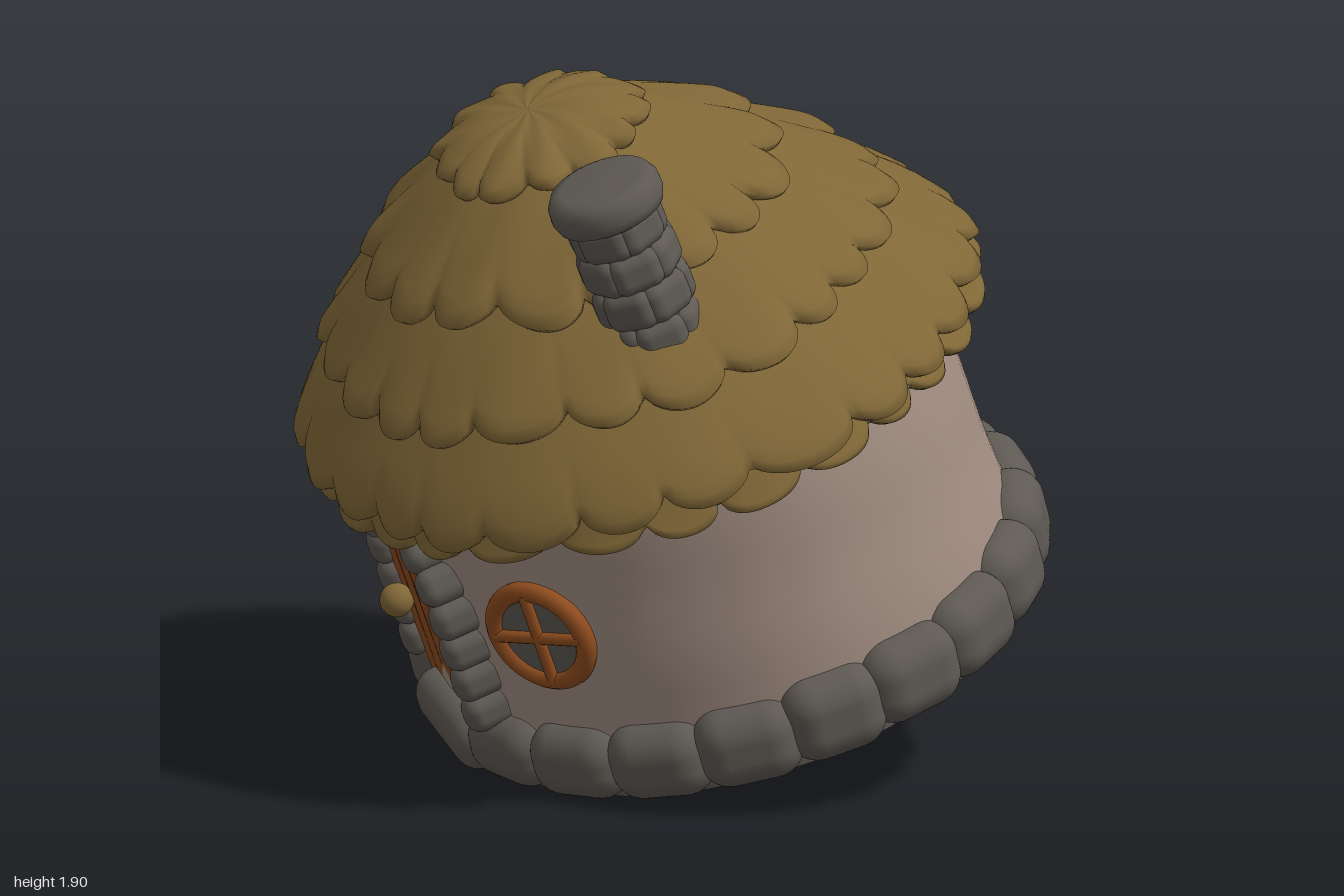
import * as THREE from 'three';
import { RoundedBoxGeometry } from 'three/addons/geometries/RoundedBoxGeometry.js';

const material = (name, color) => {
  const m = new THREE.MeshStandardMaterial({ color });
  m.name = name;
  return m;
};

export function createModel() {
  const thatch = material('thatch', 0x806737);
  const plaster = material('plaster', 0xa38f83);
  const stone = material('stone', 0x5e5953);
  const wood = material('wood', 0x8f4c1e);

  const model = new THREE.Group();
  model.name = 'cottage';
  // The whole cottage leans forward
  const house = new THREE.Group();
  house.name = 'house';
  house.rotation.x = 0.4;
  house.position.set(0.01, 0.316, -0.235);
  model.add(house);

  const add = (parent, name, geometry, mat, x = 0, y = 0, z = 0) => {
    const mesh = new THREE.Mesh(geometry, mat);
    mesh.name = name;
    mesh.position.set(x, y, z);
    parent.add(mesh);
    return mesh;
  };
  let seed = 7;
  const rand = () => (seed = (seed * 16807) % 2147483647) / 2147483647;
  const pebble = (w, h, d) => new RoundedBoxGeometry(w, h, d, 5, Math.min(w, h, d) * 0.44);
  const lathe = (pts, segments = 40) => new THREE.LatheGeometry(pts.map(p => new THREE.Vector2(...p)), segments);

  // Plaster wall, slightly uneven
  const wallGeo = new THREE.CylinderGeometry(0.765, 0.775, 0.9, 96, 16, true);
  const wp = wallGeo.attributes.position;
  for (let i = 0; i < wp.count; i++) {
    const a = Math.atan2(wp.getX(i), wp.getZ(i)), y = wp.getY(i);
    const k = 1 + 0.006 * Math.sin(5 * a + 6 * y) * Math.sin(3 * a - 9 * y);
    wp.setXYZ(i, wp.getX(i) * k * 1.06, y, wp.getZ(i) * k);
  }
  wallGeo.computeVertexNormals();
  add(house, 'wall', wallGeo, plaster, 0, 0.48, 0);

  // Foundation slab and ring of boulders, leaving a gap for the doorstep
  const foundation = new THREE.Group();
  foundation.name = 'foundation';
  foundation.rotation.z = -0.025;
  house.add(foundation);
  add(foundation, 'floor', new THREE.CylinderGeometry(0.8, 0.8, 0.08, 48), stone, 0, 0.05, 0).scale.x = 1.04;
  for (let i = 0; i < 19; i++) {
    const a = -0.07 + i * 0.306, h = 0.2 + rand() * 0.05;
    const s = add(foundation, 'foundationStone', pebble(0.275 + rand() * 0.02, h, 0.2), stone,
      0.8 * Math.sin(a), h / 2, 0.755 * Math.cos(a));
    s.rotation.set(-0.08, a, (rand() - 0.5) * 0.08);
  }

  // Group standing on the wall surface at an angle, facing outward
  const onWall = (name, angle, y, radius) => {
    const g = new THREE.Group();
    g.name = name;
    g.position.set(1.05 * radius * Math.sin(angle), y, radius * Math.cos(angle));
    g.rotation.y = angle;
    house.add(g);
    return g;
  };

  // Arched plank door
  const door = onWall('door', -0.42, 0, 0.765);
  const archY = 0.5, halfWidth = 0.23, planks = 5;
  const archTop = x => archY + Math.sqrt(Math.max(0, halfWidth ** 2 - x * x));
  for (let i = 0; i < planks; i++) {
    const w = 2 * halfWidth / planks, x0 = -halfWidth + i * w + 0.003, x1 = x0 + w - 0.006;
    const shape = new THREE.Shape();
    shape.moveTo(x0, 0.12);
    shape.lineTo(x1, 0.12);
    for (let k = 0; k <= 6; k++) {
      const x = x1 + (x0 - x1) * k / 6;
      shape.lineTo(x, archTop(x));
    }
    const g = new THREE.ExtrudeGeometry(shape, {
      depth: 0.08, bevelEnabled: true, bevelSize: 0.004, bevelThickness: 0.006, bevelSegments: 2 });
    add(door, 'doorPlank', g, wood, 0, 0, -0.075);
  }
  add(door, 'doorKnob', new THREE.SphereGeometry(0.046, 24, 16), thatch, -0.15, 0.41, 0.05);
  const step = add(door, 'doorstep', pebble(0.42, 0.16, 0.2), stone, 0, 0.09, -0.01);
  step.rotation.z = -0.04;

  // Stones up both sides of the door and over the arch
  const column = 0.32, archR = 0.262, pathLength = 2 * column + Math.PI * archR, frameCount = 15;
  for (let i = 0; i < frameCount; i++) {
    const d = (i + 0.5) / frameCount * pathLength;
    let x, y, turn;
    if (d < column) [x, y, turn] = [-archR, archY - column + d, 0];
    else if (d > pathLength - column) [x, y, turn] = [archR, archY - (d - (pathLength - column)), 0];
    else {
      turn = -(d - column) / archR;
      x = -archR * Math.cos(turn);
      y = archY - archR * Math.sin(turn);
    }
    const s = add(door, 'doorFrameStone', pebble(0.085 + rand() * 0.015, 0.108, 0.15), stone, x, y, -0.02);
    s.rotation.z = turn;
  }

  // Round window with crossed bars
  const win = onWall('window', 0.26, 0.5, 0.775);
  add(win, 'windowFrame', new THREE.TorusGeometry(0.14, 0.028, 12, 48), wood);
  const pane = add(win, 'windowPane', new THREE.CylinderGeometry(0.14, 0.14, 0.02, 40), stone);
  pane.rotation.x = Math.PI / 2;
  for (const turn of [0, Math.PI / 2]) {
    const bar = add(win, 'windowBar', new THREE.CylinderGeometry(0.018, 0.018, 0.28, 12), wood, 0, 0, 0.012);
    bar.rotation.z = turn;
  }

  // Hanging lantern with its wall bracket
  const lantern = onWall('lantern', -1.05, 0.47, 0.85);
  add(lantern, 'lanternGlass', lathe([[0, 0.02], [0.05, 0.02], [0.068, 0.13], [0, 0.13]], 8), plaster);
  add(lantern, 'lanternBase', lathe([[0, -0.015], [0.04, -0.01], [0.058, 0.01], [0.055, 0.03], [0, 0.03]], 16), plaster);
  add(lantern, 'lanternRoof', lathe([[0, 0.125], [0.088, 0.125], [0.09, 0.14], [0.06, 0.175], [0.03, 0.195],
    [0.022, 0.215], [0, 0.22]], 16), plaster);
  for (let i = 0; i < 6; i++) {
    const a = i * Math.PI / 3;
    const curve = new THREE.LineCurve3(new THREE.Vector3(0.055 * Math.sin(a), 0.01, 0.055 * Math.cos(a)),
      new THREE.Vector3(0.076 * Math.sin(a), 0.135, 0.076 * Math.cos(a)));
    add(lantern, 'lanternBar', new THREE.TubeGeometry(curve, 1, 0.009, 6), plaster);
  }
  add(lantern, 'lanternRing', new THREE.TorusGeometry(0.027, 0.008, 8, 20), plaster, 0, 0.24, 0);
  const bracket = add(lantern, 'lanternBracket', new THREE.CylinderGeometry(0.009, 0.009, 0.14, 8), plaster, 0, 0.26, -0.06);
  bracket.rotation.x = Math.PI / 2;

  // Thatch: overlapping scalloped skirts following one roof profile
  const roof = new THREE.Group();
  roof.name = 'roof';
  house.add(roof);
  const profile = new THREE.SplineCurve([[0, 1.69], [0.14, 1.66], [0.27, 1.575], [0.42, 1.45], [0.58, 1.3],
    [0.73, 1.13], [0.85, 0.97], [0.915, 0.82]].map(p => new THREE.Vector2(...p)));

  const skirt = (name, from, to, count, depth, lift, phase) => {
    const segments = count * 14, rows = 12, total = rows + 3, pos = [], index = [];
    for (let k = 0; k <= total; k++) {
      for (let i = 0; i < segments; i++) {
        const a = i / segments * Math.PI * 2;
        const wobble = a + 0.05 * Math.sin(3 * a + phase) + 0.03 * Math.sin(7 * a);
        const s = Math.sqrt(Math.abs(Math.cos(count * wobble / 2 + phase)));
        const end = to - depth * (1 - s) + 0.06 * Math.sin(5 * a + phase * 3);
        const f = Math.min(1, k / rows);
        let t = from + (end - from) * f;
        let off = lift * f + 0.024 * s * f * f + 0.005 * f * Math.sin(11 * a + 5 * f);
        // Rounded lip, then back underneath
        if (k === rows) off -= 0.012;
        if (k === rows + 1) off -= 0.035;
        if (k > rows + 1) { t -= 0.25 * (k - rows - 1); off -= 0.045; }
        const u = THREE.MathUtils.clamp(t / 7, 0, 1);
        const p = profile.getPoint(u), d = profile.getTangent(u);
        const r = Math.max(0, p.x - d.y * off), y = p.y + d.x * off;
        pos.push(1.03 * r * Math.sin(a) - 0.045 * (y - 0.8), y, r * Math.cos(a) + 0.07 * (y - 0.8));
      }
    }
    for (let k = 0; k < total; k++) {
      for (let i = 0; i < segments; i++) {
        const j = (i + 1) % segments, a = k * segments, b = a + segments;
        index.push(a + i, b + i, a + j, a + j, b + i, b + j);
      }
    }
    const g = new THREE.BufferGeometry();
    g.setAttribute('position', new THREE.Float32BufferAttribute(pos, 3));
    g.setIndex(index);
    g.computeVertexNormals();
    add(roof, name, g, thatch);
  };
  skirt('thatchFringe', 5.8, 6.95, 26, 0.5, -0.005, 0.8);
  skirt('thatchLowerTier', 4.5, 6.6, 24, 0.4, 0.035, 0);
  skirt('thatchMiddleTier', 3.1, 5.2, 22, 0.4, 0.035, 0.5);
  skirt('thatchUpperTier', 1.3, 3.85, 16, 0.45, 0.035, 1.1);
  skirt('thatchCap', 0, 2.05, 13, 0.3, 0.03, 0.3);

  // Dark lining beneath the eaves
  add(roof, 'eaveLining', lathe([[0.7, 0.87], [0.86, 0.85], [0.885, 0.87], [0.8, 0.99]], 64), stone).scale.x = 1.03;

  // Chimney of bulging courses with a thick cap
  const chimney = new THREE.Group();
  chimney.name = 'chimney';
  chimney.position.set(0.485, 1.2, 0.255);
  chimney.rotation.z = 0.06;
  house.add(chimney);
  add(chimney, 'chimneyCore', new THREE.CylinderGeometry(0.115, 0.125, 0.4, 24), stone, 0, 0.2, 0);
  for (let c = 0; c < 4; c++) {
    for (let i = 0; i < 6; i++) {
      const a = (i + (c % 2) / 2) * Math.PI / 3;
      const s = add(chimney, 'chimneyStone', pebble(0.145, 0.12, 0.09), stone,
        (0.095 - c * 0.003) * Math.sin(a), 0.05 + c * 0.105, (0.095 - c * 0.003) * Math.cos(a));
      s.rotation.y = a;
    }
  }
  add(chimney, 'chimneyCap', lathe([[0, 0.39], [0.12, 0.39], [0.148, 0.405], [0.157, 0.43], [0.155, 0.465],
    [0.14, 0.49], [0.11, 0.498], [0, 0.5]]), stone);

  return model;
}
